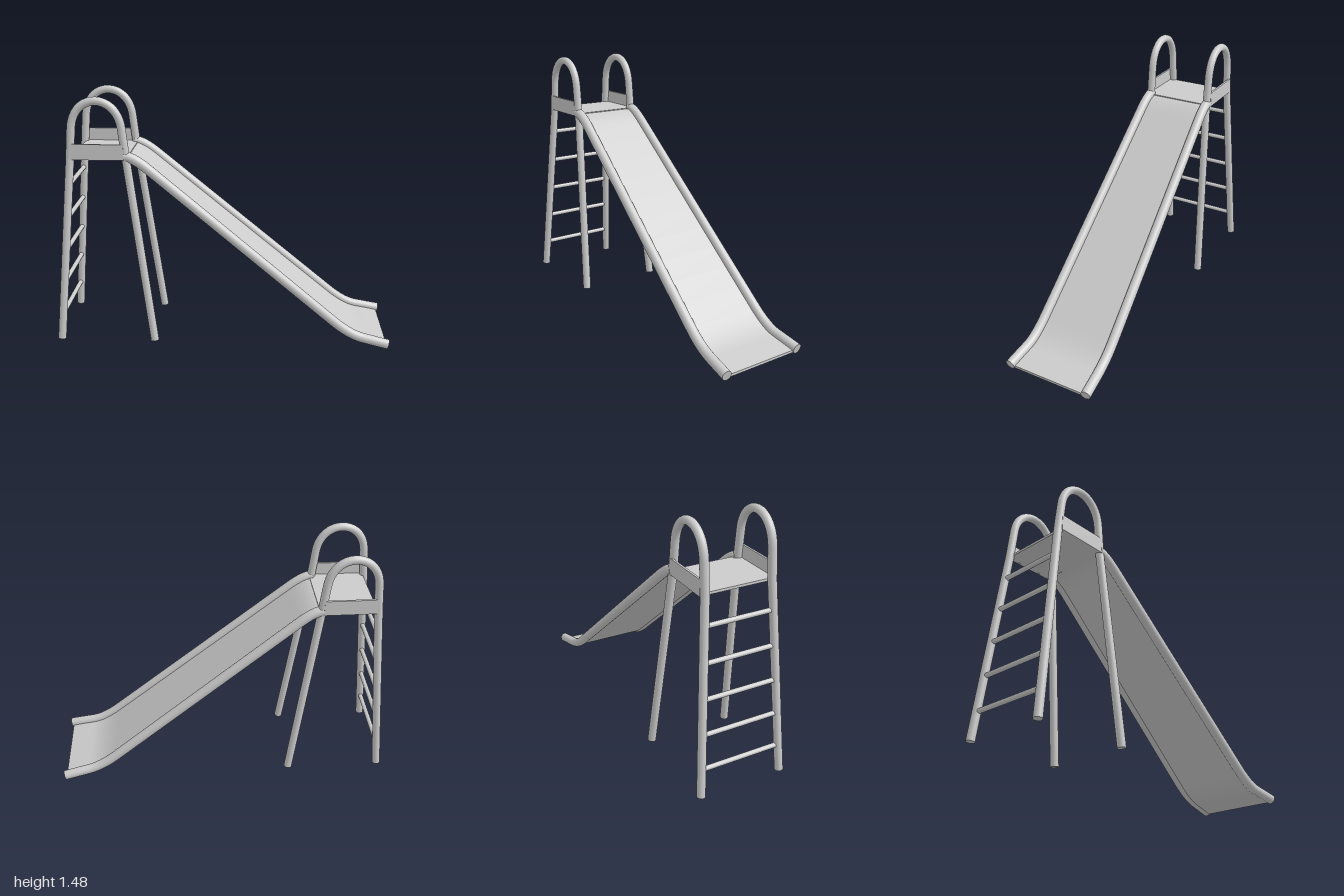
import * as THREE from 'three';
import { toCreasedNormals } from 'three/addons/utils/BufferGeometryUtils.js';

const TOP_Z = 0.195;
const V = (x, y, z) => new THREE.Vector3(x, y, z);

export function createModel() {
  const model = new THREE.Group();
  const mat = new THREE.MeshStandardMaterial({ color: 0xcccccc, roughness: 0.6 });

  const add = (name, geometry, parent = model) => {
    const mesh = new THREE.Mesh(geometry, mat);
    mesh.name = name;
    parent.add(mesh);
    return mesh;
  };

  // Tube along a curve, closed with a disc at both ends
  const pipe = (name, curve, radius, segments, sides = 20) => {
    const group = new THREE.Group();
    group.name = name;
    add(name + 'Tube', new THREE.TubeGeometry(curve, segments, radius, sides), group);
    for (const t of [0, 1]) {
      const dir = curve.getTangentAt(t).multiplyScalar(t ? 1 : -1);
      const cap = add(name + 'Cap', new THREE.CircleGeometry(radius, sides), group);
      cap.position.copy(curve.getPointAt(t));
      cap.quaternion.setFromUnitVectors(V(0, 0, 1), dir);
    }
    model.add(group);
  };

  // Side profile of the slide: curved lip, long straight run, flat run-out
  const P = (x, y) => new THREE.Vector2(x, y);
  const profile = [
    ...new THREE.QuadraticBezierCurve(P(-0.56, 1.153), P(-0.51, 1.15), P(-0.43, 1.083)).getPoints(8),
    ...new THREE.LineCurve(P(-0.43, 1.083), P(0.66, 0.166)).getPoints(10).slice(1),
    ...new THREE.QuadraticBezierCurve(P(0.66, 0.166), P(0.76, 0.082), P(0.84, 0.066)).getPoints(10).slice(1),
    P(0.91, 0.051), P(0.983, 0.035),
  ];
  // The slide widens towards the bottom
  const slideZ = (x) => x < 0.8
    ? THREE.MathUtils.mapLinear(x, -0.56, 0.8, TOP_Z, 0.235)
    : THREE.MathUtils.mapLinear(x, 0.8, 0.983, 0.235, 0.25);

  for (const s of [1, -1]) {
    const side = s > 0 ? 'left' : 'right';

    // Back leg, hand hoop and front leg bent from one tube
    const frame = new THREE.CurvePath();
    const a = V(-0.975, 0.03, s * 0.248), b = V(-0.868, 1.14, s * TOP_Z), c = V(-0.852, 1.31, s * TOP_Z);
    const d = V(-0.568, 1.31, s * TOP_Z), e = V(-0.55, 1.14, s * TOP_Z), f = V(-0.41, 0.03, s * 0.248);
    frame.add(new THREE.LineCurve3(a, b));
    frame.add(new THREE.LineCurve3(b, c));
    frame.add(new THREE.CubicBezierCurve3(c, V(-0.832, 1.517, s * TOP_Z), V(-0.588, 1.517, s * TOP_Z), d));
    frame.add(new THREE.LineCurve3(d, e));
    frame.add(new THREE.LineCurve3(e, f));
    pipe(side + 'Frame', frame, 0.024, 130);

    // Slide rail
    const rail = new THREE.CurvePath();
    const pts = profile.map((p) => V(p.x, p.y, s * slideZ(p.x)));
    for (let i = 1; i < pts.length; i++) rail.add(new THREE.LineCurve3(pts[i - 1], pts[i]));
    pipe(side + 'SlideRail', rail, 0.029, 100);

    // Platform side panel
    add(side + 'Panel', new THREE.BoxGeometry(0.3, 0.09, 0.012))
      .position.set(-0.71, 1.18, s * 0.214);
  }

  // Sliding surface: thin profile extruded across, then fanned out to meet the rails
  const sheet = profile.map((p) => P(Math.min(p.x, 0.975), p.y - 0.004));
  const under = sheet.map((p) => P(p.x - 0.006, p.y - 0.015)).reverse();
  under[0].x = 0.975;
  const bed = new THREE.ExtrudeGeometry(new THREE.Shape([...sheet, ...under]), { depth: 2, bevelEnabled: false });
  bed.translate(0, 0, -1);
  const pos = bed.attributes.position;
  for (let i = 0; i < pos.count; i++) pos.setZ(i, pos.getZ(i) * slideZ(pos.getX(i)));
  add('slideBed', toCreasedNormals(bed, 0.6));

  // Standing platform
  add('platform', new THREE.BoxGeometry(0.32, 0.015, 0.42)).position.set(-0.7, 1.143, 0);

  // Ladder rungs between the back legs
  for (let i = 0; i < 5; i++) {
    const y = 0.19 + i * 0.198;
    const t = (y - 0.03) / 1.11;
    const halfWidth = THREE.MathUtils.lerp(0.248, TOP_Z, t);
    const rung = add('rung', new THREE.CylinderGeometry(0.014, 0.014, halfWidth * 2, 14));
    rung.rotation.x = Math.PI / 2;
    rung.position.set(THREE.MathUtils.lerp(-0.975, -0.868, t), y, 0);
  }

  return model;
}
